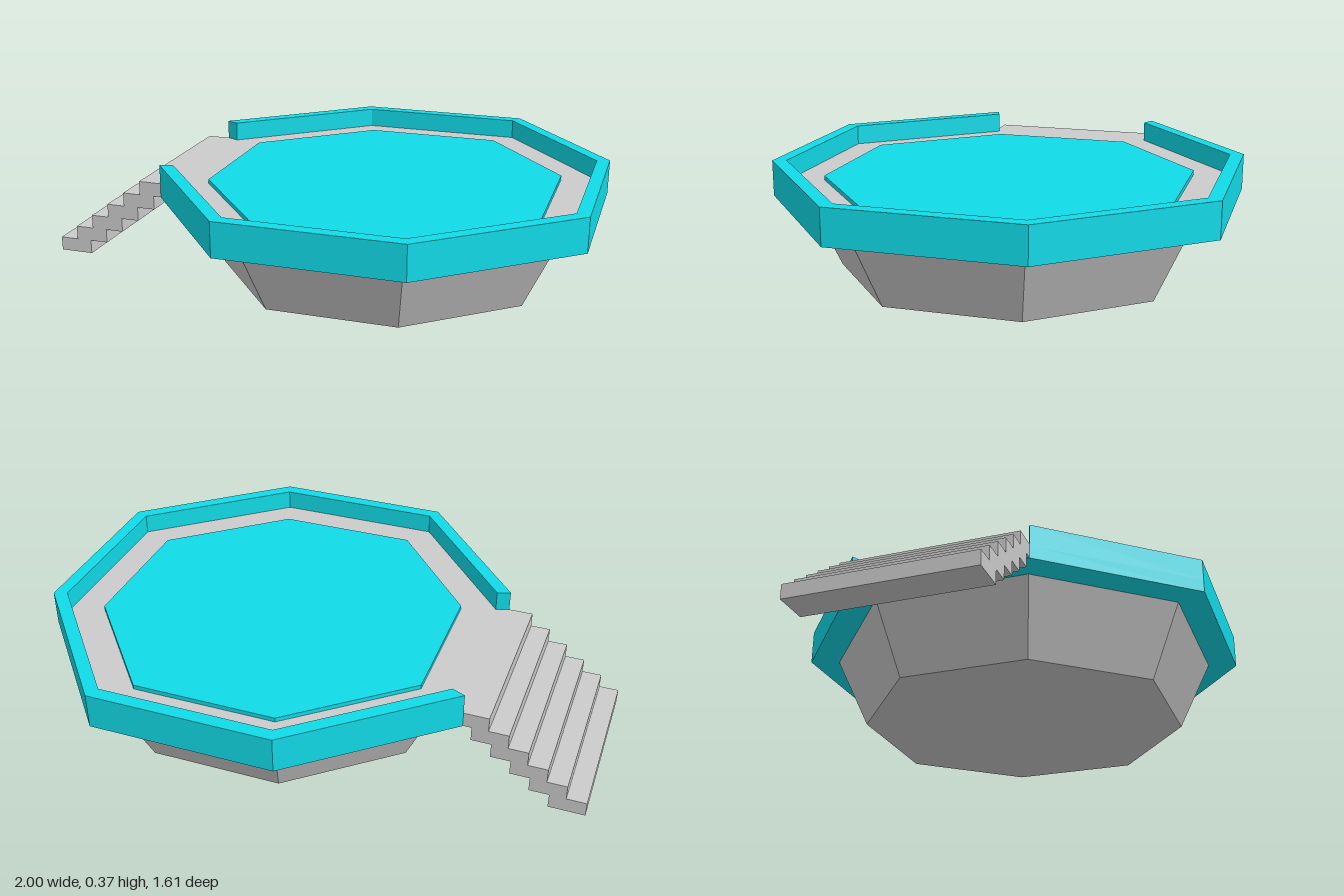
import * as THREE from 'three';

const CENTRE_X = 0.195;
const DIAGONAL = 0.733; // diagonal corner coordinate relative to the axis radius

// Corner k of an octagon whose axis corners lie at distance r
function corner(k, r) {
  const i = ((k % 8) + 8) % 8;
  const a = (i * Math.PI) / 4;
  const d = i % 2 ? r * DIAGONAL * Math.SQRT2 : r;
  return new THREE.Vector2(Math.cos(a) * d, Math.sin(a) * d);
}

// Consecutive corners from one index to another, in either direction
function corners(from, to, r) {
  const step = Math.sign(to - from), out = [];
  for (let k = from; k !== to + step; k += step) out.push(corner(k, r));
  return out;
}

// Upright prism of an outline between two heights
function prism(points, y0, y1) {
  const geo = new THREE.ExtrudeGeometry(new THREE.Shape(points), { depth: y1 - y0, bevelEnabled: false });
  return geo.rotateX(-Math.PI / 2).translate(0, y0, 0);
}

export function createModel() {
  const model = new THREE.Group();
  model.name = 'octagonalPlatform';
  const grey = new THREE.MeshStandardMaterial({ color: 0xcccccc, flatShading: true });
  const teal = new THREE.MeshStandardMaterial({ color: 0x11dbe8, flatShading: true });

  const platform = new THREE.Group();
  platform.name = 'platform';
  platform.position.x = CENTRE_X;
  model.add(platform);

  const add = (parent, name, geo, mat) => {
    const mesh = new THREE.Mesh(geo, mat);
    mesh.name = name;
    parent.add(mesh);
    return mesh;
  };

  // Base, narrowing towards the ground
  const BASE_TOP = 0.7, BASE_BOTTOM = 0.582, DECK_Y = 0.25, FLOOR_Y = 0.302;
  const base = prism(corners(0, 7, BASE_TOP), 0, DECK_Y);
  const p = base.attributes.position;
  for (let i = 0; i < p.count; i++) {
    if (p.getY(i) > 0.01) continue;
    const s = BASE_BOTTOM / BASE_TOP;
    p.setXYZ(i, p.getX(i) * s, 0, p.getZ(i) * s);
  }
  base.computeVertexNormals();
  add(platform, 'base', base, grey);

  // Coloured slab, and a floor that runs out through the wall's opening
  const OUTER = 0.805, INNER = 0.757;
  add(platform, 'deckSlab', prism(corners(0, 7, OUTER), DECK_Y, 0.295), teal);
  const floor = [...corners(4, 11, INNER), corner(3, OUTER), corner(4, OUTER)];
  add(platform, 'floor', prism(floor, 0.295, FLOOR_Y), grey);

  // Wall on seven sides, open at the stairs
  const wall = [...corners(4, 11, OUTER), ...corners(11, 4, INNER)];
  add(platform, 'wall', prism(wall, 0.295, 0.372), teal);

  // Raised centre mat
  add(platform, 'centreMat', prism(corners(0, 7, 0.633), FLOOR_Y, 0.317), teal);

  // Overlapping slab steps, local +x pointing away from the platform
  const a = corner(3, OUTER), b = corner(4, OUTER);
  const stairs = new THREE.Group();
  stairs.name = 'stairs';
  stairs.position.set(CENTRE_X + (a.x + b.x) / 2, 0, -(a.y + b.y) / 2);
  stairs.rotation.y = Math.atan2(a.x - b.x, -(a.y - b.y));
  model.add(stairs);

  const width = a.distanceTo(b), rise = FLOOR_Y / 6, run = 0.067, reach = 0.419;
  for (let i = 0; i < 6; i++) {
    const outer = reach - i * run;
    const inner = Math.max(outer - 0.122, 0);
    const step = add(stairs, i < 5 ? 'step' : 'landing', new THREE.BoxGeometry(outer - inner, rise, width), grey);
    step.position.set((outer + inner) / 2, (i + 0.5) * rise, 0);
  }
  return model;
}
